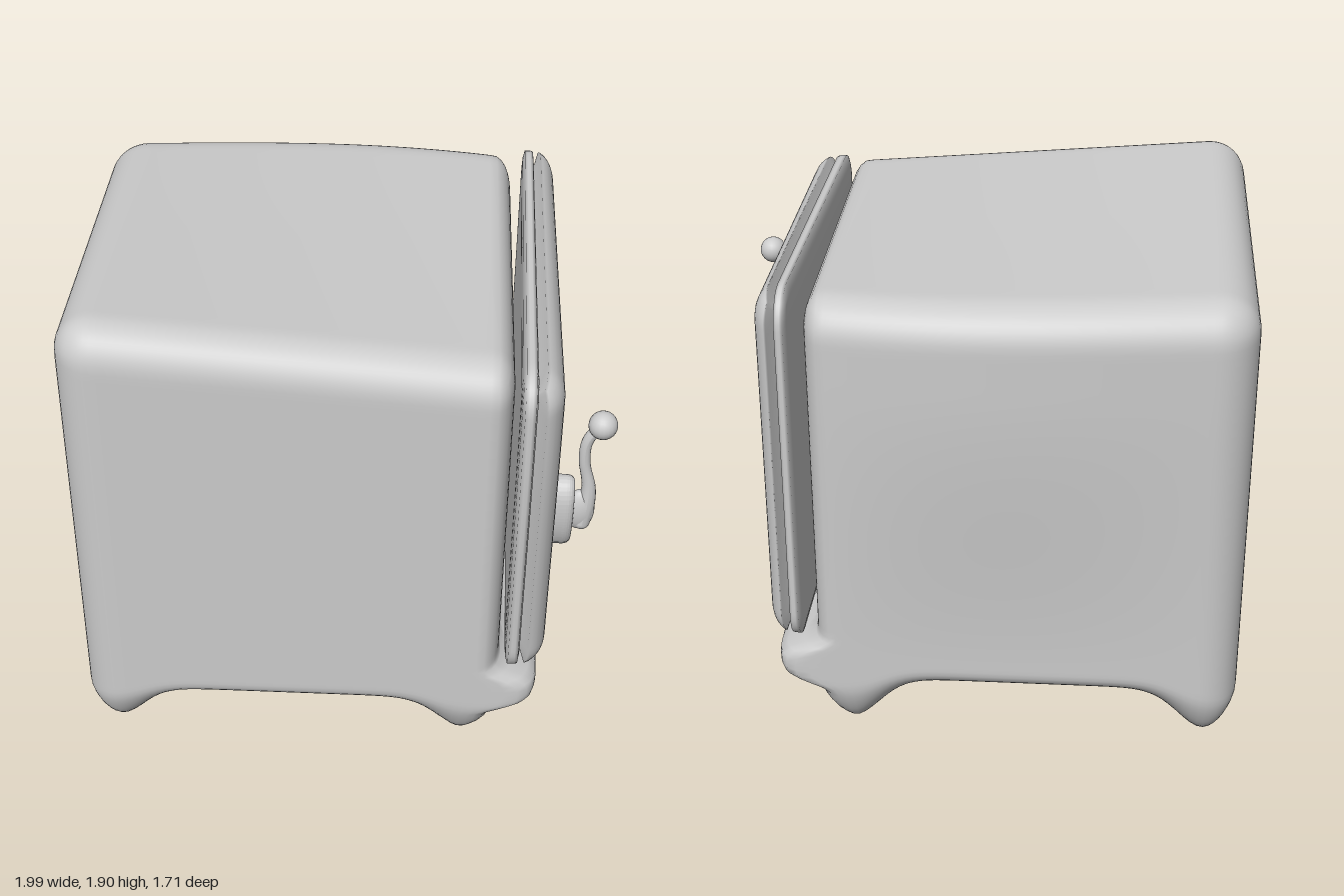
import * as THREE from 'three';
import { mergeVertices } from 'three/addons/utils/BufferGeometryUtils.js';

const { smoothstep, lerp, clamp } = THREE.MathUtils;
const grey = new THREE.MeshStandardMaterial({ color: 0xcccccc });

function mesh(name, geometry) {
  const m = new THREE.Mesh(geometry, grey);
  m.name = name;
  return m;
}

// Rounded box between two corners; the rounding depth along x may differ at
// each end. Every vertex is then passed through a bending rule.
function softBox(min, max, segs, r, rxMinus, rxPlus, bend) {
  const size = max.clone().sub(min);
  const mid = min.clone().add(max).multiplyScalar(0.5);
  const geo = new THREE.BoxGeometry(size.x, size.y, size.z, ...segs);
  geo.deleteAttribute('uv');
  geo.deleteAttribute('normal');
  const pos = geo.attributes.position;
  const p = new THREE.Vector3();
  const core = new THREE.Vector3();
  const radii = new THREE.Vector3();
  for (let i = 0; i < pos.count; i++) {
    p.fromBufferAttribute(pos, i);
    radii.set(p.x > 0 ? rxPlus : rxMinus, r, r);
    for (const a of ['x', 'y', 'z']) {
      const h = size[a] / 2 - radii[a];
      core[a] = clamp(p[a], a === 'x' ? -size.x / 2 + rxMinus : -h, a === 'x' ? size.x / 2 - rxPlus : h);
    }
    p.sub(core).divide(radii).normalize().multiply(radii).add(core).add(mid);
    bend(p);
    pos.setXYZ(i, p.x, p.y, p.z);
  }
  const merged = mergeVertices(geo, 1e-5);
  merged.computeVertexNormals();
  return merged;
}

// Cabinet: tilted top, bulging back, four soft feet and a lip under the door
function bendCabinet(p) {
  const u = clamp((p.x + 0.99) / 1.6, 0, 1);
  const v = clamp((p.z + 0.79) / 1.6, 0, 1);

  if (p.y > 0.5) {
    const top = lerp(lerp(1.82, 1.805, u), lerp(1.925, 1.785, u), v);
    p.y = 0.5 + (p.y - 0.5) * (top - 0.5) / 1.4;
  } else {
    let under = 0.2;
    for (const fx of [-0.88, 0.49]) {
      for (const fz of [-0.68, 0.68]) {
        const d2 = (p.x - fx) ** 2 + (p.z - fz) ** 2;
        under -= 0.2 * Math.exp(-d2 / 0.0256);
      }
    }
    p.y = under + p.y * (0.5 - under) / 0.5;
  }

  // back panel bulge
  const back = smoothstep(-p.z, 0, 0.79);
  p.z -= back * 0.065 * Math.sin(Math.PI * u ** 1.3) ** 0.8 * smoothstep(p.y, 0.3, 1.5);

  // lip, and feet drawn in below it
  const w = smoothstep(p.x, 0.4, 0.6);
  p.x += w * 0.15 * Math.exp(-(((p.y - 0.29) / 0.085) ** 4));
  p.x -= w * 0.03 * (1 - smoothstep(p.y, 0, 0.18));
}

// Door: wider and lower toward the front, nearly flat inner face
function bendDoor(p) {
  const v = clamp((p.z + 0.79) / 1.645, 0, 1);
  const inner = clamp((0.785 - p.x) / 0.145, 0, 1);
  p.y = 0.39 + (p.y - 0.39) * (lerp(1.835, 1.785, v) - 0.39) / 1.43;
  p.z -= 0.045 * v * (1 - smoothstep(p.y, 0.4, 1.5));
  p.x += inner * lerp(0.018, -0.008, v);
}

// Tube whose radius follows a function of its length
function taperedTube(points, radiusAt) {
  const curve = new THREE.CatmullRomCurve3(points.map(([x, y]) => new THREE.Vector3(x, y, 0)));
  const rings = 32, sides = 16;
  const geo = new THREE.TubeGeometry(curve, rings, 1, sides);
  const pos = geo.attributes.position;
  const p = new THREE.Vector3();
  for (let i = 0; i < pos.count; i++) {
    const t = Math.floor(i / (sides + 1)) / rings;
    const c = curve.getPointAt(t);
    p.fromBufferAttribute(pos, i).sub(c).multiplyScalar(radiusAt(t)).add(c);
    pos.setXYZ(i, p.x, p.y, p.z);
  }
  geo.computeVertexNormals();
  return geo;
}

function createHandle() {
  const handle = new THREE.Group();
  handle.name = 'handle';

  // teardrop mounting plate
  const drop = new THREE.Shape();
  drop.moveTo(0, -0.135);
  drop.bezierCurveTo(0.025, -0.1, 0.045, -0.03, 0.042, 0.05);
  drop.bezierCurveTo(0.04, 0.16, -0.04, 0.16, -0.042, 0.05);
  drop.bezierCurveTo(-0.045, -0.03, -0.025, -0.1, 0, -0.135);
  const plate = mesh('handlePlate', new THREE.ExtrudeGeometry(drop, {
    depth: 0.035, bevelThickness: 0.03, bevelSize: 0.022, bevelSegments: 5, curveSegments: 16,
  }));
  plate.rotation.y = Math.PI / 2;
  plate.position.set(0.795, 1.035, 0);

  // oval hub
  const hub = mesh('handleHub', new THREE.SphereGeometry(1, 24, 16));
  hub.scale.set(0.055, 0.09, 0.036);
  hub.position.set(0.885, 1.04, 0);

  // curved lever and knob
  const lever = mesh('handleLever', taperedTube(
    [[0.895, 0.985], [0.908, 1.07], [0.91, 1.15], [0.887, 1.27], [0.893, 1.36], [0.935, 1.43]],
    t => lerp(0.033, 0.021, smoothstep(t, 0.1, 0.55))));
  const foot = mesh('leverEnd', new THREE.SphereGeometry(0.033, 16, 12));
  foot.position.set(0.895, 0.985, 0);
  const knob = mesh('handleKnob', new THREE.SphereGeometry(0.053, 20, 14));
  knob.position.set(0.942, 1.43, 0);

  handle.add(plate, hub, lever, foot, knob);
  handle.position.z = 0.575;
  return handle;
}

export function createModel() {
  const model = new THREE.Group();
  model.name = 'refrigerator';
  const V = (x, y, z) => new THREE.Vector3(x, y, z);
  model.add(
    mesh('cabinet', softBox(V(-0.99, 0, -0.79), V(0.615, 1.9, 0.81), [56, 60, 56], 0.15, 0.15, 0.07, bendCabinet)),
    mesh('door', softBox(V(0.64, 0.39, -0.79), V(0.785, 1.82, 0.855), [12, 52, 56], 0.13, 0.012, 0.1, bendDoor)),
    createHandle(),
  );
  return model;
}
